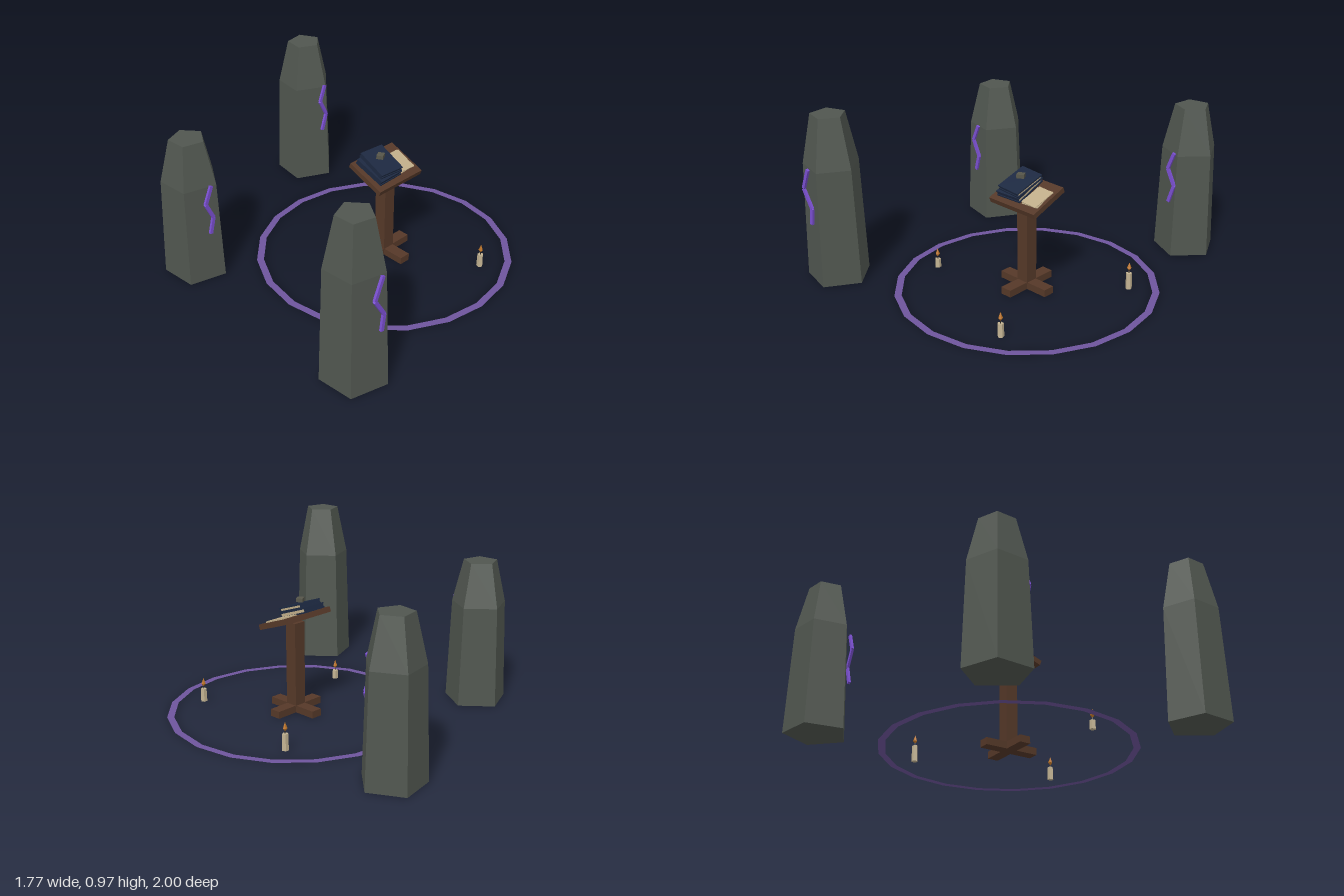
import * as THREE from 'three';

const mat = (name, color, extra = {}) => {
  const m = new THREE.MeshStandardMaterial({ color, flatShading: true, ...extra });
  m.name = name;
  return m;
};

export function createModel() {
  const root = new THREE.Group();
  const stone = mat('stone', 0x50564f);
  const glow = mat('rune violet', 0x7a4fd0);
  const chalk = mat('circle purple', 0x6e549c, { side: THREE.DoubleSide });
  const wood = mat('wood', 0x553828);
  const navy = mat('navy cover', 0x1c2840);
  const paper = mat('parchment', 0xbfac88);
  const wax = mat('wax', 0xc2b291);
  const fire = mat('flame', 0xbd7426);
  const metal = mat('tarnished metal', 0x57564a);
  const wickDark = mat('wick', 0x2a2420);

  const group = (name, parent = root) => {
    const g = new THREE.Group();
    g.name = name;
    parent.add(g);
    return g;
  };
  const add = (parent, name, geo, material, x = 0, y = 0, z = 0) => {
    const m = new THREE.Mesh(geo, material);
    m.name = name;
    m.position.set(x, y, z);
    parent.add(m);
    return m;
  };
  const box = (w, h, d) => new THREE.BoxGeometry(w, h, d);

  // Standing stones: five-sided tapered shafts, each with a zigzag glowing crack
  const stones = [
    { x: -0.735, z: 0.824, h: 0.97, turn: 0.384,
      crack: [[-0.72, 0.695], [-0.772, 0.572], [-0.709, 0.468], [-0.723, 0.372]] },
    { x: -0.735, z: -0.446, h: 0.84, turn: 0.384,
      crack: [[-0.724, 0.608], [-0.768, 0.508], [-0.723, 0.41], [-0.748, 0.314]] },
    { x: 0.471, z: -0.838, h: 0.89, turn: 0.175,
      crack: [[0.482, 0.642], [0.443, 0.54], [0.492, 0.442], [0.458, 0.337]] },
  ];
  for (const s of stones) {
    const g = group('standingStone');
    const profile = [[0, 0], [0.182, 0], [0.161, s.h * 0.7], [0.1, s.h], [0, s.h]]
      .map(([r, y]) => new THREE.Vector2(r, y));
    add(g, 'stoneShaft', new THREE.LatheGeometry(profile, 5), stone, s.x, 0, s.z)
      .rotation.y = s.turn;
    for (let i = 0; i < 3; i++) {
      const [ax, ay] = s.crack[i], [bx, by] = s.crack[i + 1];
      const seg = add(g, 'glowingCrack', box(0.02, Math.hypot(bx - ax, by - ay), 0.014), glow,
        (ax + bx) / 2, (ay + by) / 2, s.z + 0.168);
      seg.rotation.z = Math.atan2(bx - ax, ay - by);
    }
  }

  // Flat ritual circle on the ground
  const cx = 0.138, cz = 0.188;
  add(root, 'groundCircle', new THREE.RingGeometry(0.701, 0.741, 20), chalk, cx, 0.004, cz)
    .rotation.x = -Math.PI / 2;

  // Lectern: crossed feet, post and tilted board
  const lectern = group('lectern');
  lectern.position.set(cx, 0, cz);
  add(lectern, 'footAcross', box(0.335, 0.042, 0.067), wood, 0, 0.021, 0);
  add(lectern, 'footAlong', box(0.067, 0.042, 0.335), wood, 0, 0.021, 0);
  add(lectern, 'post', box(0.074, 0.5, 0.074), wood, 0, 0.285, 0);
  const top = group('readingTop', lectern);
  top.position.y = 0.5545;
  top.rotation.x = 0.35;
  add(top, 'board', box(0.333, 0.031, 0.248), wood);

  // Closed books with a page block showing on the right edge
  const makeBook = (w, h, d, x, y, z, turn) => {
    const b = group('book', top);
    b.position.set(x, y, z);
    b.rotation.y = turn;
    for (const side of [-1, 1]) add(b, 'cover', box(w, 0.008, d), navy, 0, side * (h / 2 - 0.004), 0);
    add(b, 'bookBody', box(w - 0.012, h - 0.016, d - 0.01), navy, -0.006, 0, 0);
    add(b, 'pageEdge', box(0.006, h - 0.016, d - 0.02), paper, w / 2 - 0.009, 0, 0);
  };
  makeBook(0.165, 0.032, 0.2, -0.054, 0.032, -0.012, 0.03);
  makeBook(0.155, 0.028, 0.19, -0.042, 0.062, -0.018, -0.07);

  // Loose parchment sheets
  for (const [i, turn] of [[0, 0.06], [1, -0.06]])
    add(top, 'parchmentSheet', box(0.108, 0.004, 0.142), paper, 0.093, 0.018 + i * 0.004, 0.008)
      .rotation.y = turn;

  // Small metal paperweight resting level on the books
  add(lectern, 'paperweight', box(0.042, 0.022, 0.038), metal, -0.043, 0.655, 0)
    .rotation.y = 0.5;

  // Candles with wick and faceted flame
  const flameShape = [[0, 0.012], [0.013, 0.03], [0, 0.066]].map(([r, y]) => new THREE.Vector2(r, y));
  for (const [x, z, h] of [[0.574, -0.177, 0.096], [-0.391, 0.381, 0.052], [0.421, 0.677, 0.078]]) {
    const c = group('candle');
    c.position.set(x, 0, z);
    add(c, 'candleWax', new THREE.CylinderGeometry(0.017, 0.019, h, 5), wax, 0, h / 2, 0);
    add(c, 'wick', new THREE.CylinderGeometry(0.003, 0.003, 0.018, 4), wickDark, 0, h + 0.009, 0);
    add(c, 'flame', new THREE.LatheGeometry(flameShape, 5), fire, 0, h, 0);
  }
  return root;
}
